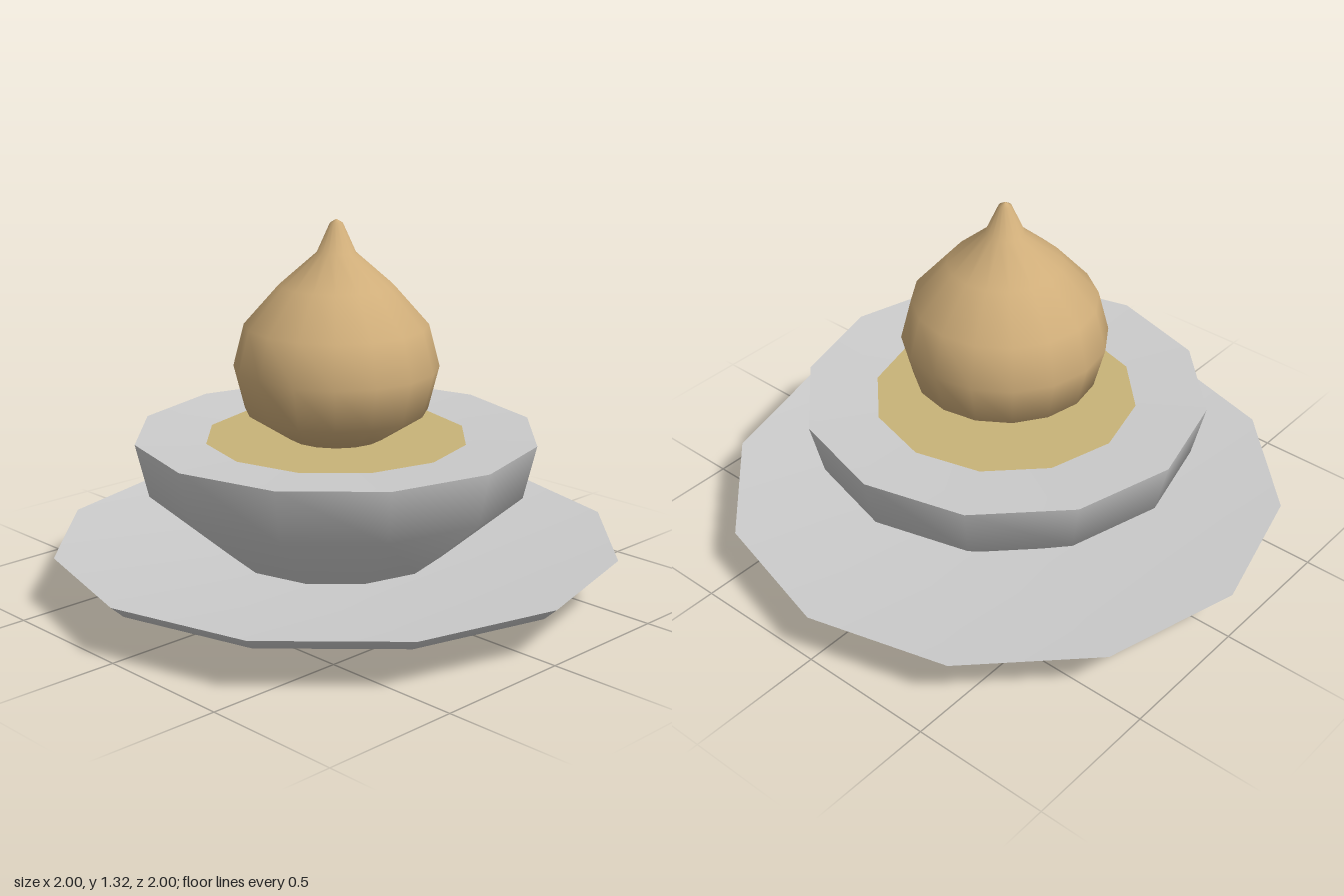
import * as THREE from 'three';

// Revolve one smooth stretch of profile; joints between stretches stay sharp.
function revolve(name, points, sides, material) {
  const profile = points.map(([r, y]) => new THREE.Vector2(r, y));
  const mesh = new THREE.Mesh(new THREE.LatheGeometry(profile, sides), material);
  mesh.name = name;
  return mesh;
}

function part(name, ...meshes) {
  const group = new THREE.Group();
  group.name = name;
  group.add(...meshes);
  return group;
}

export function createModel() {
  const grey = new THREE.MeshStandardMaterial({ color: 0xcccccc });
  const broth = new THREE.MeshStandardMaterial({ color: 0xc8b378 });
  const dough = new THREE.MeshStandardMaterial({ color: 0xd0ae7a });
  const SIDES = 12;

  // Shallow saucer with a flared, thin rim
  const saucer = part('saucer',
    revolve('saucerBase', [[0, 0], [0.56, 0]], SIDES, grey),
    revolve('saucerUnderside', [[0.56, 0], [0.95, 0.145], [1, 0.19]], SIDES, grey),
    revolve('saucerTop', [[1, 0.19], [0.45, 0.14], [0, 0.14]], SIDES, grey));

  // Bowl with a broad, slightly dished rim
  const bowl = part('bowl',
    revolve('bowlBase', [[0, 0.145], [0.385, 0.145]], SIDES, grey),
    revolve('bowlWall', [[0.385, 0.145], [0.665, 0.385], [0.71, 0.574]], SIDES, grey),
    revolve('bowlRim', [[0.71, 0.574], [0.463, 0.56]], SIDES, grey));

  // Flat liquid surface
  const liquid = revolve('liquid', [[0.463, 0.56], [0, 0.56]], SIDES, broth);

  // Onion-shaped bulb drawn up to a small tip
  const bulb = revolve('bulb', [
    [0, 0.53], [0.17, 0.56], [0.32, 0.658], [0.358, 0.81], [0.32, 0.958],
    [0.197, 1.097], [0.067, 1.21], [0.022, 1.31], [0, 1.323],
  ], 16, dough);

  return part('bowlOnSaucer', saucer, bowl, liquid, bulb);
}
